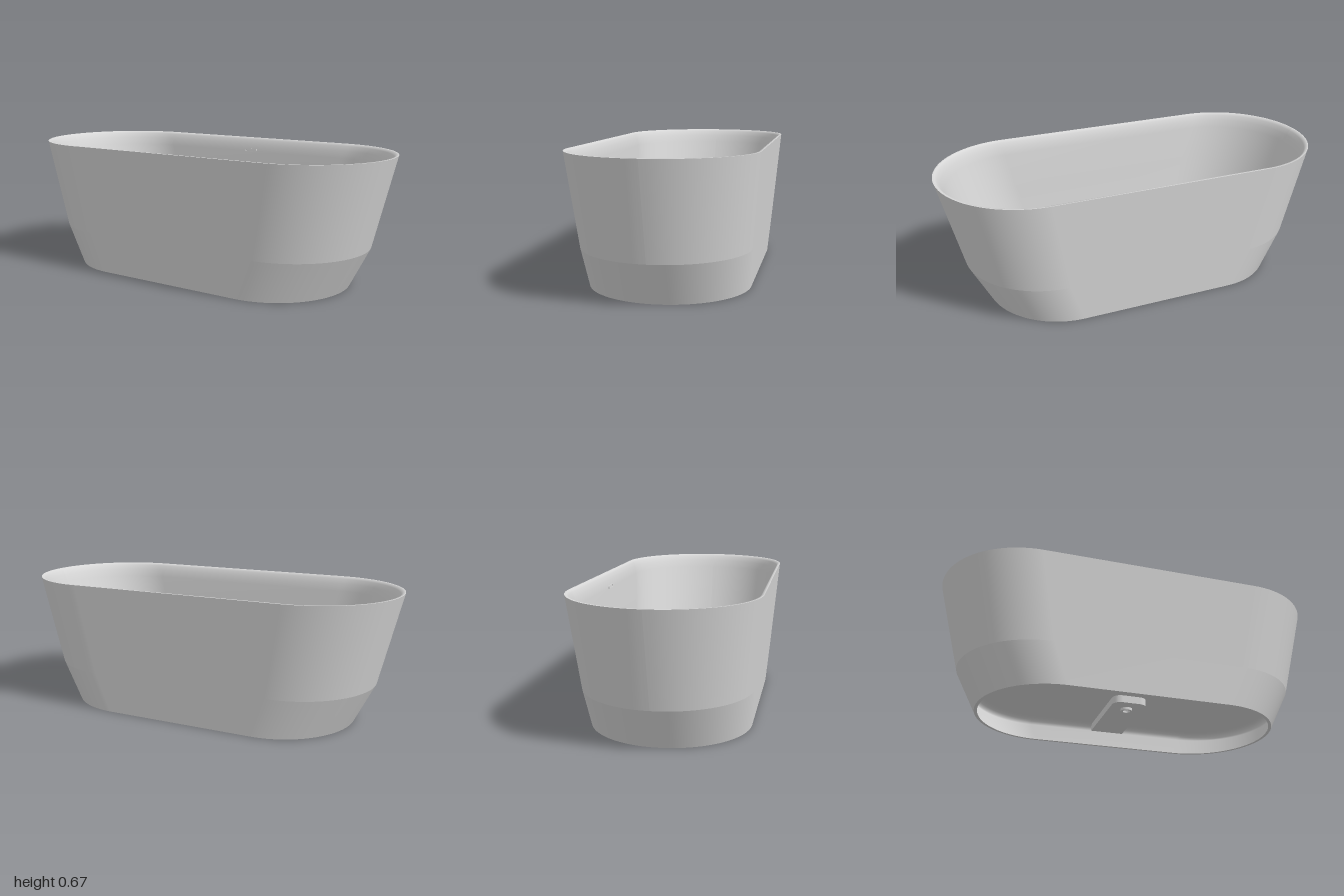
import * as THREE from 'three';

const ARC = 24; // segments per quarter end

// Surface through stadium rings; each row is [y, halfLength, halfWidth, halfStraight]
function loft(rows, material, name) {
  const pos = [], index = [];
  const n = 4 * (ARC + 1);
  for (const [y, ax, az, s] of rows) {
    for (let q = 0; q < 4; q++) {
      const sign = q === 0 || q === 3 ? 1 : -1;
      for (let k = 0; k <= ARC; k++) {
        // doubled points at the tips are nudged apart
        const t = (q + (k + 0.02 * (1 - 2 * k / ARC)) / ARC) * Math.PI / 2;
        pos.push(sign * s + (ax - s) * Math.cos(t), y, az * Math.sin(t));
      }
    }
  }
  for (let i = 0; i < rows.length - 1; i++) {
    for (let j = 0; j < n; j++) {
      const a = i * n + j, b = i * n + (j + 1) % n;
      index.push(a, a + n, b, b, a + n, b + n);
    }
  }
  const g = new THREE.BufferGeometry();
  g.setAttribute('position', new THREE.Float32BufferAttribute(pos, 3));
  g.setIndex(index);
  g.computeVertexNormals();
  const mesh = new THREE.Mesh(g, material);
  mesh.name = name;
  return mesh;
}

// Rounded rectangle outline
function roundedRect(target, w, h, r) {
  target.moveTo(-w + r, -h);
  target.lineTo(w - r, -h);
  target.absarc(w - r, -h + r, r, -Math.PI / 2, 0);
  target.lineTo(w, h - r);
  target.absarc(w - r, h - r, r, 0, Math.PI / 2);
  target.lineTo(-w + r, h);
  target.absarc(-w + r, h - r, r, Math.PI / 2, Math.PI);
  target.lineTo(-w, -h + r);
  target.absarc(-w + r, -h + r, r, Math.PI, Math.PI * 1.5);
  return target;
}

export function createModel() {
  const group = new THREE.Group();
  group.name = 'bathtub';
  const enamel = new THREE.MeshStandardMaterial({ color: 0xd8d8d8 });
  enamel.name = 'pale grey enamel';
  const add = (geometry, name) => {
    const m = new THREE.Mesh(geometry, enamel);
    m.name = name;
    group.add(m);
    return m;
  };

  // Outer skin, with a crease where the foot tapers in
  group.add(loft([[0, 0.78, 0.396, 0.4], [0.205, 0.885, 0.413, 0.475]], enamel, 'outerFoot'));
  group.add(loft([[0.205, 0.885, 0.413, 0.475], [0.667, 1, 0.453, 0.56]], enamel, 'outerWall'));

  // Thin rim rolling over into the basin wall, which rounds into the floor
  const basin = [
    [0.667, 1, 0.453, 0.56], [0.667, 0.989, 0.442, 0.56], [0.655, 0.978, 0.434, 0.56],
    [0.63, 0.964, 0.425, 0.56], [0.59, 0.95, 0.418, 0.555], [0.4, 0.891, 0.405, 0.51],
  ];
  for (let k = 0; k <= 6; k++) {
    const t = k / 6 * Math.PI / 2, inset = 0.05 * (1 - Math.cos(t));
    basin.push([0.19 - 0.05 * Math.sin(t), 0.823 - inset, 0.39 - inset, 0.45]);
  }
  group.add(loft(basin, enamel, 'basinWall'));
  group.add(loft([[0.14, 0.773, 0.34, 0.45], [0.132, 0.045, 0.045, 0]], enamel, 'basinFloor'));

  // Underside: floor, rounded corner, inner skirt and standing edge
  const skirt = [];
  for (let k = 0; k <= 6; k++) {
    const t = k / 6 * Math.PI / 2, out = 0.035 * Math.sin(t);
    skirt.push([0.118 - 0.035 * (1 - Math.cos(t)), 0.765 + out, 0.35 + out, 0.43]);
  }
  skirt.push([0, 0.764, 0.381, 0.4]);
  group.add(loft([[0.118, 0.045, 0.045, 0], [0.118, 0.765, 0.35, 0.43]], enamel, 'underFloor'));
  group.add(loft(skirt, enamel, 'innerSkirt'));
  group.add(loft([[0, 0.764, 0.381, 0.4], [0, 0.78, 0.396, 0.4]], enamel, 'standingEdge'));

  // Drain: sunk well with a plug
  const well = [[0.045, 0.132], [0.045, 0.095], [0, 0.095]].map(p => new THREE.Vector2(...p));
  const wellMesh = add(new THREE.LatheGeometry(well, 40).toNonIndexed(), 'drainWell');
  wellMesh.geometry.computeVertexNormals();
  const plug = add(new THREE.CylinderGeometry(0.039, 0.039, 0.034, 40), 'drainPlug');
  plug.position.y = 0.114;

  // Waste channel under the floor, running to the back wall
  const channel = new THREE.Shape();
  channel.moveTo(-0.09, -0.375);
  channel.lineTo(0.09, -0.375);
  channel.lineTo(0.09, 0.04);
  channel.absarc(0.045, 0.04, 0.045, 0, Math.PI / 2);
  channel.lineTo(-0.045, 0.085);
  channel.absarc(-0.045, 0.04, 0.045, Math.PI / 2, Math.PI);
  const channelMesh = add(new THREE.ExtrudeGeometry(channel, { depth: 0.04, bevelEnabled: false, curveSegments: 8 }), 'wasteChannel');
  channelMesh.rotation.x = Math.PI / 2;
  channelMesh.position.y = 0.12;

  // Outlet collar under the channel
  const collar = new THREE.Shape().absarc(0, 0, 0.03, 0, Math.PI * 2);
  collar.holes.push(new THREE.Path().absarc(0, 0, 0.019, 0, Math.PI * 2, true));
  const collarMesh = add(new THREE.ExtrudeGeometry(collar, { depth: 0.015, bevelEnabled: false, curveSegments: 24 }), 'outletCollar');
  collarMesh.rotation.x = Math.PI / 2;
  collarMesh.position.y = 0.081;

  // Overflow slot surround on the back wall
  const slot = roundedRect(new THREE.Shape(), 0.038, 0.009, 0.008);
  slot.holes.push(roundedRect(new THREE.Path(), 0.034, 0.005, 0.004));
  const overflow = add(new THREE.ExtrudeGeometry(slot, { depth: 0.006, bevelEnabled: false }), 'overflowSlot');
  overflow.position.set(0, 0.595, -0.42);
  overflow.rotation.x = -0.12;

  return group;
}
